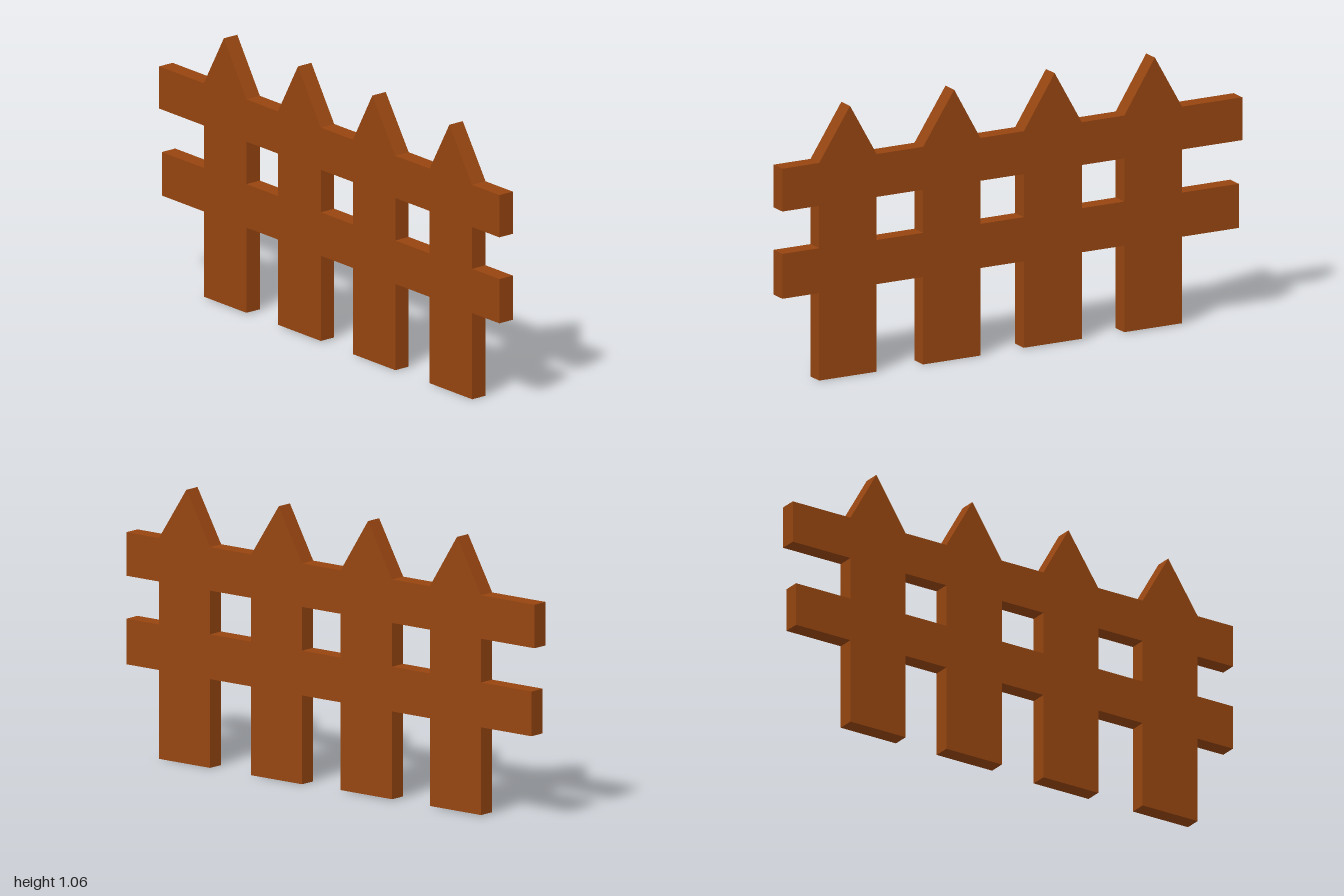
import * as THREE from 'three';

// Fence silhouette is drawn in (u, y), where u runs along -z.
const THICKNESS = 0.066;
const LOW = { bottom: 0.343, top: 0.516, end: 0.985 };
const HIGH = { bottom: 0.685, top: 0.853, end: 1 };

// Each picket: left edge, right edge, tip position, tip height, foot height
const PICKETS = [
  { a: -0.84, b: -0.59, tip: -0.706, top: 1.058, foot: 0 },
  { a: -0.388, b: -0.139, tip: -0.253, top: 1.058, foot: 0 },
  { a: 0.05, b: 0.302, tip: 0.184, top: 1.062, foot: 0.004 },
  { a: 0.487, b: 0.738, tip: 0.62, top: 1.062, foot: 0.004 },
];

const toPoints = (list) => list.map(([u, y]) => new THREE.Vector2(u, y));

function fenceShape() {
  const first = PICKETS[0];
  const last = PICKETS[PICKETS.length - 1];
  const outline = [[-1, LOW.bottom]];

  // Legs along the underside
  for (const { a, b, foot } of PICKETS) {
    outline.push([a, LOW.bottom], [a, foot], [b, foot], [b, LOW.bottom]);
  }
  // Rail ends at the far side
  outline.push(
    [LOW.end, LOW.bottom], [LOW.end, LOW.top], [last.b, LOW.top],
    [last.b, HIGH.bottom], [HIGH.end, HIGH.bottom], [HIGH.end, HIGH.top],
  );
  // Pointed tips along the top
  for (const { a, b, tip, top } of [...PICKETS].reverse()) {
    outline.push([b, HIGH.top], [tip, top], [a, HIGH.top]);
  }
  // Rail ends at the near side
  outline.push(
    [-1, HIGH.top], [-1, HIGH.bottom], [first.a, HIGH.bottom],
    [first.a, LOW.top + 0.003], [-1, LOW.top + 0.003],
  );

  // Windows between the rails and neighbouring pickets
  const shape = new THREE.Shape(toPoints(outline));
  for (let i = 0; i < PICKETS.length - 1; i++) {
    const l = PICKETS[i].b;
    const r = PICKETS[i + 1].a;
    shape.holes.push(new THREE.Path(toPoints([
      [l, LOW.top], [l, HIGH.bottom], [r, HIGH.bottom], [r, LOW.top],
    ])));
  }
  return shape;
}

export function createModel() {
  const group = new THREE.Group();
  group.name = 'picketFence';

  const geometry = new THREE.ExtrudeGeometry(fenceShape(), { depth: THICKNESS, bevelEnabled: false });
  geometry.translate(0, 0, -THICKNESS / 2);
  geometry.rotateY(Math.PI / 2);

  const panel = new THREE.Mesh(geometry, new THREE.MeshStandardMaterial({ color: 0x964510 }));
  panel.name = 'fencePanel';
  group.add(panel);
  return group;
}
